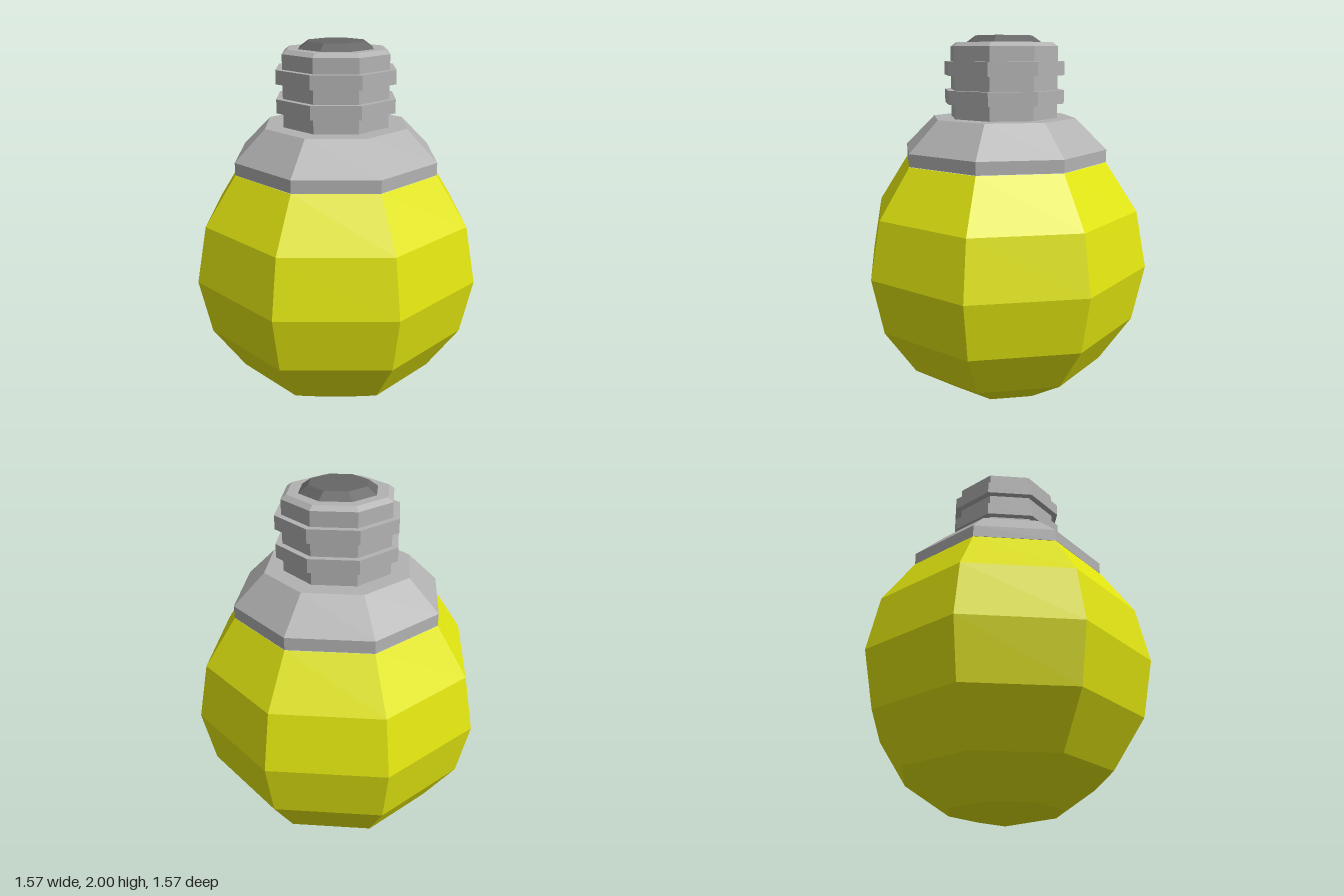
import * as THREE from 'three';

const SIDES = 8;

function paint(name, color) {
  const m = new THREE.MeshStandardMaterial({ color, flatShading: true });
  m.name = name;
  return m;
}

// Octagonal turned part; profile is [radius, height] pairs from bottom to top
function turned(name, material, profile) {
  const points = profile.map(([r, y]) => new THREE.Vector2(r, y));
  const mesh = new THREE.Mesh(new THREE.LatheGeometry(points, SIDES), material);
  mesh.name = name;
  return mesh;
}

export function createModel() {
  const group = new THREE.Group();
  group.name = 'lightBulb';
  const yellow = paint('yellowGlass', 0xe1e50f);
  const grey = paint('greyMetal', 0xb2b2b2);
  const dark = paint('darkContact', 0x666666);

  // Glass bulb: sphere rings every 22.5 degrees, cut off at the collar
  const glass = [];
  for (let i = 0; i <= 6; i++) {
    const a = (i * Math.PI) / 8;
    glass.push([0.785 * Math.sin(a), 0.795 - 0.79 * Math.cos(a)]);
  }
  glass[0] = [0, 0];
  group.add(turned('bulb', yellow, glass));

  // Sloped collar between glass and screw base
  group.add(turned('collar', grey, [
    [0, 1.355], [0.555, 1.355], [0.555, 1.42], [0.39, 1.58], [0, 1.58],
  ]));

  // Screw base with two raised threads and a bevelled rim
  const base = [[0.29, 1.58]];
  for (const y of [1.655, 1.8]) {
    base.push([0.29, y], [0.325, y], [0.325, y + 0.07], [0.29, y + 0.07]);
  }
  base.push([0.29, 1.945], [0.262, 1.965], [0, 1.965]);
  group.add(turned('screwBase', grey, base));

  // Dark contact on top
  group.add(turned('contact', dark, [[0.203, 1.965], [0.153, 2], [0, 2]]));

  return group;
}
